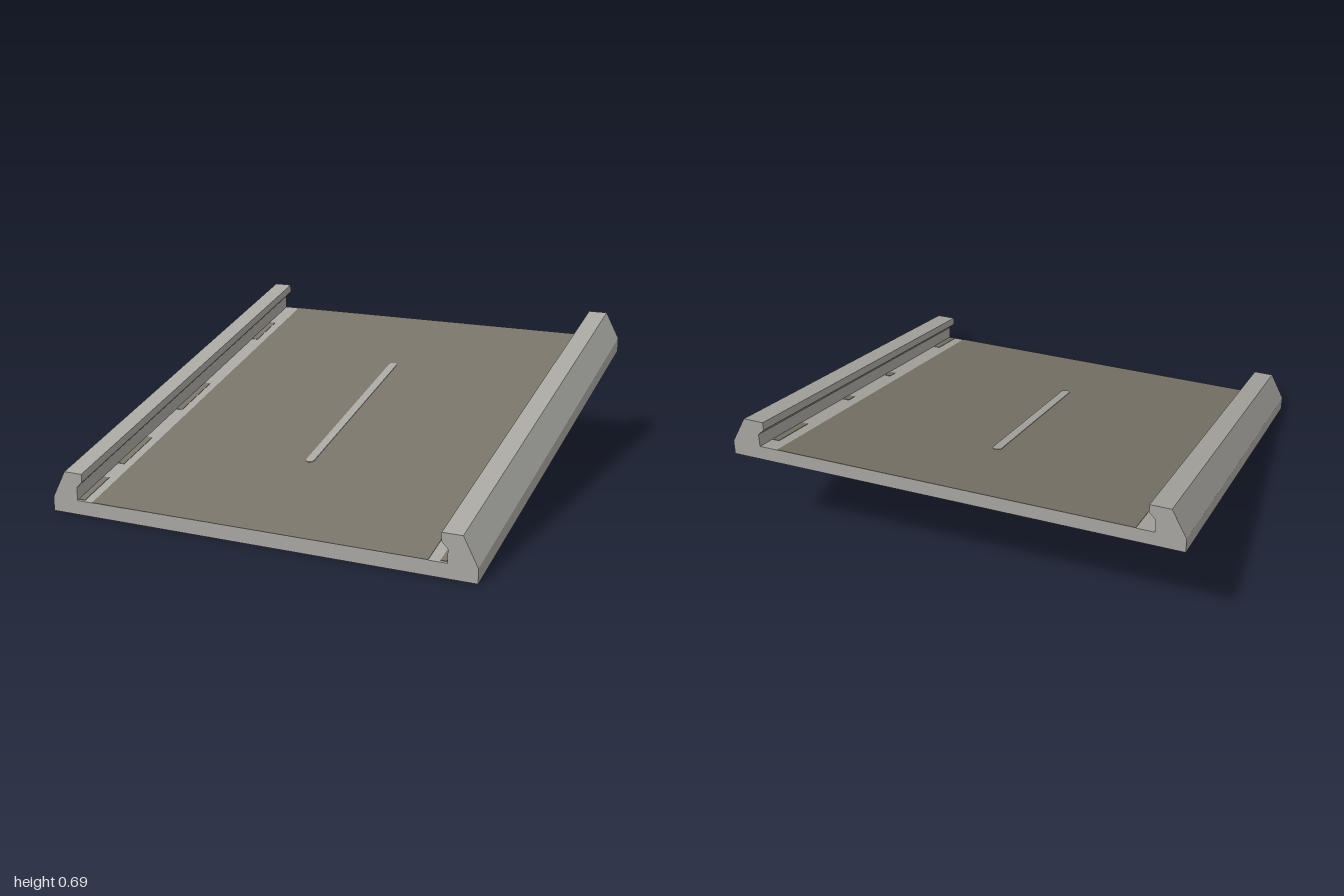
import * as THREE from 'three';

const concrete = new THREE.MeshStandardMaterial({ color: 0xa6a5a0 });
concrete.name = 'concrete grey';
const asphalt = new THREE.MeshStandardMaterial({ color: 0x777367 });
asphalt.name = 'asphalt';

const ROAD = 0.065; // deck thickness
const RISE = 0.25; // slope of the ramp

// Shear a level geometry so that it climbs towards the back
function slope(geometry) {
  const p = geometry.attributes.position;
  for (let i = 0; i < p.count; i++) p.setY(i, p.getY(i) + RISE * (1 - p.getZ(i)));
  geometry.computeVertexNormals();
  return geometry;
}

function addMesh(group, name, geometry, material) {
  const mesh = new THREE.Mesh(slope(geometry), material);
  mesh.name = name;
  group.add(mesh);
}

// Thin painted plate lying on the deck
function addPlate(group, name, x0, x1, z0, z1, top, material) {
  const bottom = ROAD - 0.002;
  const g = new THREE.BoxGeometry(x1 - x0, top - bottom, z1 - z0).toNonIndexed();
  g.translate((x0 + x1) / 2, (top + bottom) / 2, (z0 + z1) / 2);
  addMesh(group, name, g, material);
}

export function createModel() {
  const group = new THREE.Group();
  group.name = 'roadRamp';

  // Deck and both guard walls as one mirrored cross-section
  const half = [
    [1, 0], [1, ROAD], [0.935, 0.19], [0.845, 0.19],
    [0.845, 0.152], [0.872, 0.125], [0.872, ROAD],
  ];
  const mirrored = half.map(([x, y]) => [-x, y]).reverse();
  const shape = new THREE.Shape([...half, ...mirrored].map(([x, y]) => new THREE.Vector2(x, y)));
  const body = new THREE.ExtrudeGeometry(shape, { depth: 2, bevelEnabled: false });
  body.translate(0, 0, -1);
  addMesh(group, 'deckAndWalls', body, concrete);

  // Asphalt lane between the pale edge lines
  addPlate(group, 'roadSurface', -0.795, 0.79, -1, 1, ROAD + 0.002, asphalt);

  // Centre dash with rounded ends
  const r = 0.02, front = 0.46, back = -0.5;
  const dash = new THREE.Shape();
  dash.absarc(0, -back - r, r, 0, Math.PI, false);
  dash.absarc(0, -front + r, r, Math.PI, Math.PI * 2, false);
  const dashGeometry = new THREE.ExtrudeGeometry(dash, { depth: 0.004, bevelEnabled: false, curveSegments: 6 });
  dashGeometry.rotateX(-Math.PI / 2);
  dashGeometry.translate(-0.005, ROAD + 0.001, 0);
  addMesh(group, 'centreDash', dashGeometry, concrete);

  // Asphalt patches in the gutters below the walls: [side, back z, front z]
  const patches = [
    [-1, -0.8, -0.6], [-1, -0.1, 0.17], [-1, 0.44, 0.68], [-1, 0.8, 0.99],
    [1, -0.9, -0.65], [1, -0.26, -0.2], [1, 0.18, 0.24], [1, 0.78, 0.99],
  ];
  for (const [side, z0, z1] of patches) {
    const x = side * 0.855;
    addPlate(group, 'gutterPatch', x - 0.016, x + 0.016, z0, z1, ROAD + 0.002, asphalt);
  }

  return group;
}
